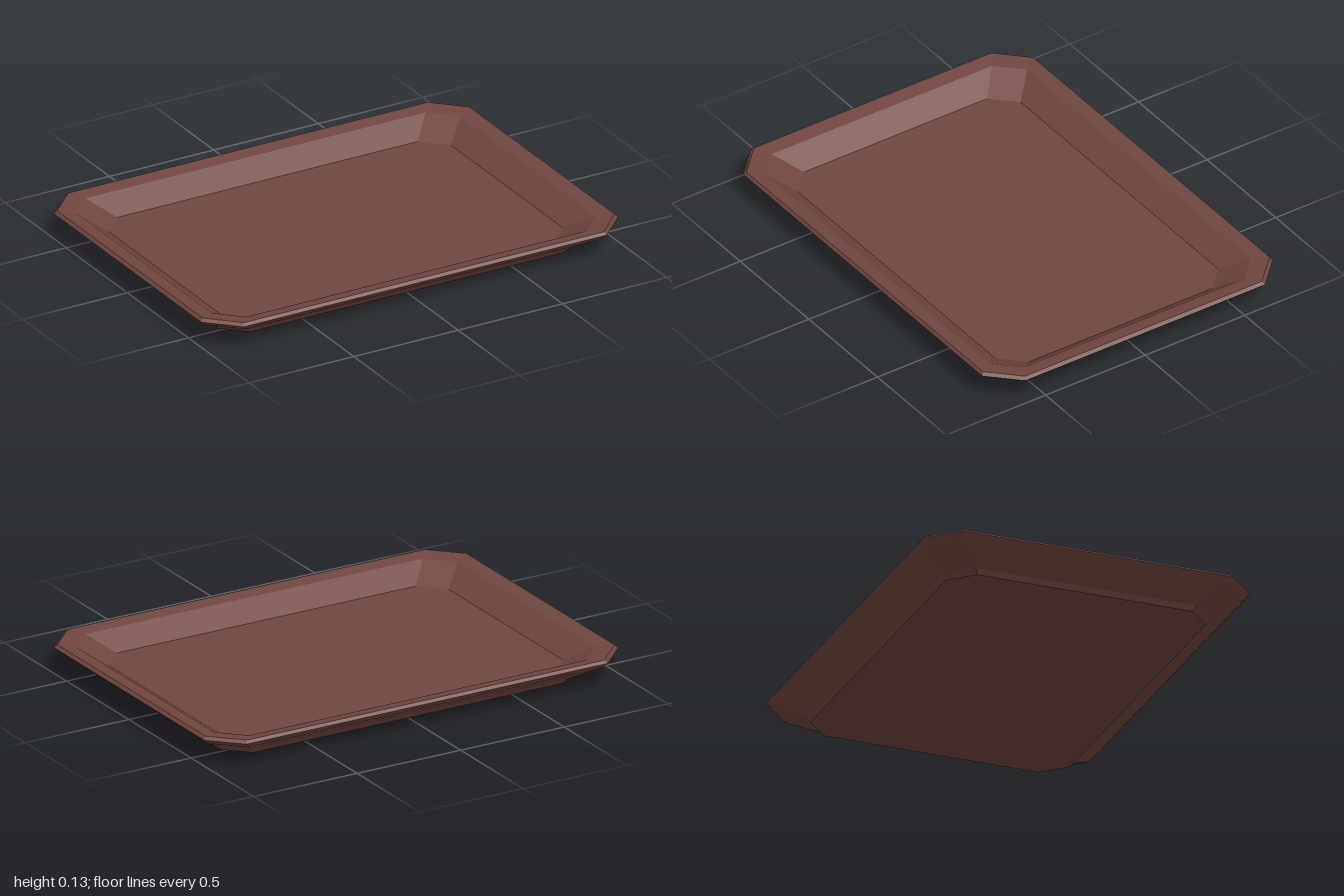
import * as THREE from 'three';

// Eight-cornered ring, counter-clockwise from above: half sizes, corner cut, height
function ring([hx, hz, cut, y]) {
  const cx = hx - cut, cz = hz - cut;
  return [
    [hx, cz], [hx, -cz], [cx, -hz], [-cx, -hz],
    [-hx, -cz], [-hx, cz], [-cx, hz], [cx, hz],
  ].map(([x, z]) => [x, y, z]);
}

// Faceted surface through successive rings, with optional end caps
function loft(sections, capStart, capEnd) {
  const rings = sections.map(ring);
  const pos = [];
  const tri = (a, b, c) => pos.push(...a, ...b, ...c);
  for (let i = 0; i < rings.length - 1; i++) {
    for (let j = 0; j < 8; j++) {
      const k = (j + 1) % 8;
      const lo = rings[i], hi = rings[i + 1];
      tri(lo[j], lo[k], hi[k]);
      tri(lo[j], hi[k], hi[j]);
    }
  }
  const first = rings[0], last = rings[rings.length - 1];
  for (let j = 1; j < 7; j++) {
    if (capStart) tri(first[0], first[j + 1], first[j]);
    if (capEnd) tri(last[0], last[j], last[j + 1]);
  }
  const geo = new THREE.BufferGeometry();
  geo.setAttribute('position', new THREE.Float32BufferAttribute(pos, 3));
  geo.computeVertexNormals();
  return geo;
}

export function createModel() {
  const brown = new THREE.MeshStandardMaterial({ color: 0x70463f, flatShading: true });
  brown.name = 'brown';

  const foot = [0.85, 0.58, 0.1, 0];
  const footTop = [0.865, 0.597, 0.105, 0.022];
  const flareTop = [0.972, 0.705, 0.122, 0.088];
  const rimEdge = [1, 0.73, 0.128, 0.114];
  const rimTop = [0.987, 0.72, 0.125, 0.127];
  const rimInner = [0.92, 0.658, 0.105, 0.117];
  const floor = [0.82, 0.56, 0.1, 0.047];

  const tray = new THREE.Group();
  tray.name = 'tray';
  const add = (name, sections, capStart = false, capEnd = false) => {
    const mesh = new THREE.Mesh(loft(sections, capStart, capEnd), brown);
    mesh.name = name;
    tray.add(mesh);
  };

  // Base foot and flared underside
  add('base', [foot, footTop], true);
  add('outerWall', [footTop, flareTop]);
  // Bevelled lip sloping slightly inward
  add('rim', [flareTop, rimEdge, rimTop, rimInner]);
  // Sloping inside wall and flat floor
  add('innerWallAndFloor', [rimInner, floor], false, true);
  return tray;
}
